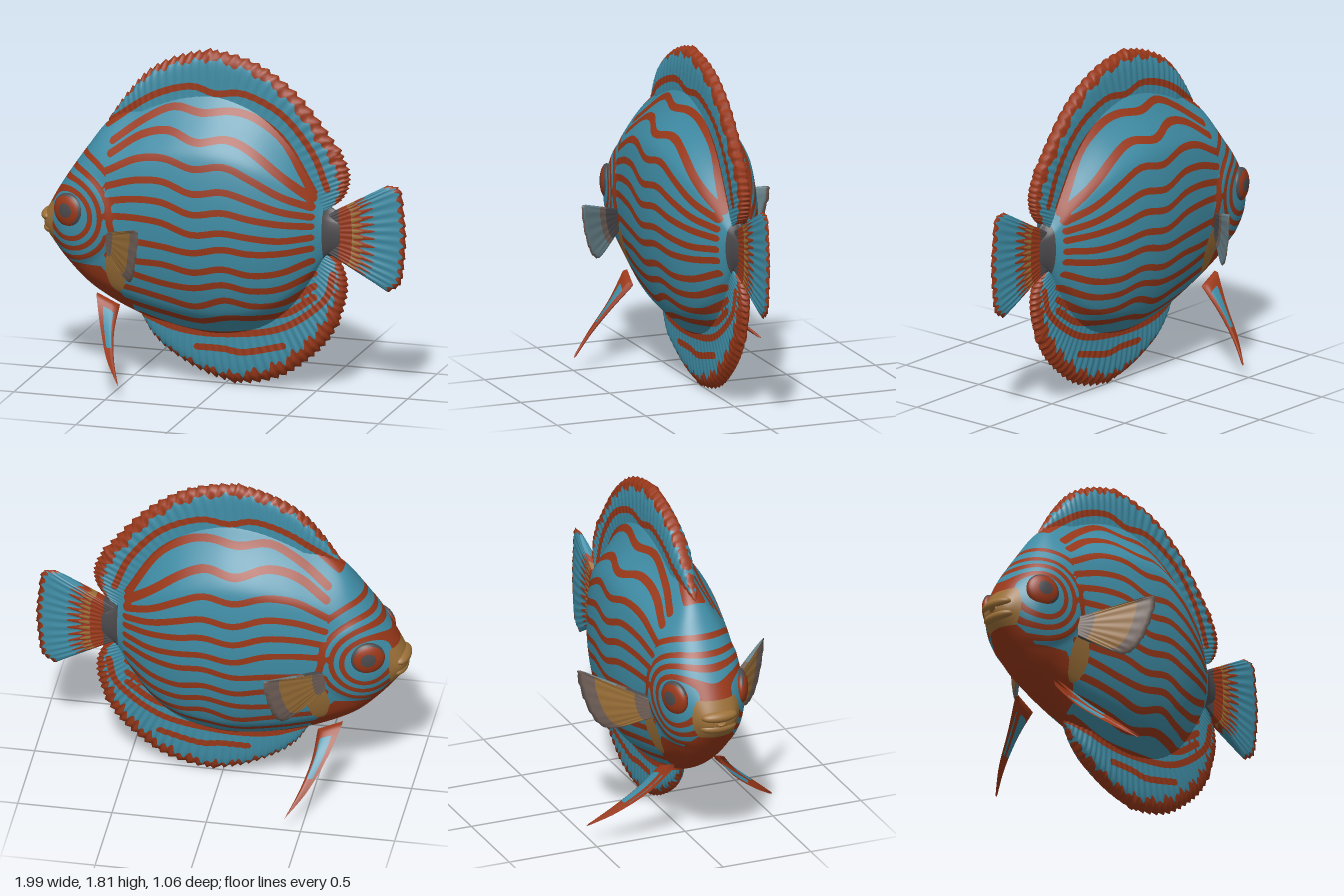
import * as THREE from 'three';

const mat = (name, color) => Object.assign(new THREE.MeshStandardMaterial({ color, side: THREE.DoubleSide }), { name });
const V = (a) => new THREE.Vector3(a[0], a[1], a[2] || 0);
const curve = (pts) => new THREE.CatmullRomCurve3(pts.map(V), false, 'catmullrom');
const BLUE = 0, RED = 1, TAN = 2, DARK = 3, GREY = 4, BROWN = 5;
const step = THREE.MathUtils.smoothstep;

// Smooth grid surface from fn(u, v); closed joins the normals of the two v ends
function grid(nu, nv, fn, closed) {
  const pos = [], uv = [], idx = [];
  for (let i = 0; i <= nu; i++) for (let j = 0; j <= nv; j++) {
    pos.push(...fn(i / nu, j / nv).toArray());
    uv.push(i / nu, j / nv);
    if (i < nu && j < nv) {
      const a = i * (nv + 1) + j, b = a + nv + 1;
      idx.push(a, a + 1, b, a + 1, b + 1, b);
    }
  }
  const g = new THREE.BufferGeometry();
  g.setAttribute('position', new THREE.Float32BufferAttribute(pos, 3));
  g.setAttribute('uv', new THREE.Float32BufferAttribute(uv, 2));
  g.setIndex(idx);
  g.computeVertexNormals();
  const n = g.attributes.normal, p = new THREE.Vector3(), q = new THREE.Vector3();
  if (closed) for (let i = 0; i <= nu; i++) {
    const a = i * (nv + 1), b = a + nv;
    p.fromBufferAttribute(n, a).add(q.fromBufferAttribute(n, b)).normalize();
    n.setXYZ(a, p.x, p.y, p.z);
    n.setXYZ(b, p.x, p.y, p.z);
  }
  return g;
}

// Cuts triangles along colour borders, so each face has one flat colour.
// colourAt gets [x, y, z, nx, ny, nz, u, v] and returns a material index.
function paint(name, geo, mats, colourAt) {
  const { position: P, normal: N, uv: U } = geo.attributes;
  const vert = Array.from({ length: P.count }, (_, i) =>
    [P.getX(i), P.getY(i), P.getZ(i), N.getX(i), N.getY(i), N.getZ(i), U.getX(i), U.getY(i)]);
  const cols = vert.map(colourAt), out = mats.map(() => []);
  const mix = (a, b, t) => a.map((x, k) => x + (b[k] - x) * t);
  const border = (a, b, ca) => {
    let lo = 0, hi = 1;
    for (let k = 0; k < 7; k++) {
      const m = (lo + hi) / 2;
      if (colourAt(mix(a, b, m)) === ca) lo = m; else hi = m;
    }
    return mix(a, b, (lo + hi) / 2);
  };
  const I = geo.index.array;
  for (let t = 0; t < I.length; t += 3) {
    const v = [0, 1, 2].map((k) => vert[I[t + k]]), c = [0, 1, 2].map((k) => cols[I[t + k]]);
    if (c[0] === c[1] && c[1] === c[2]) { out[c[0]].push(...v); continue; }
    const odd = [0, 1, 2].find((k) => c[(k + 1) % 3] === c[(k + 2) % 3]);
    if (odd !== undefined) {
      const o = v[odd], p = v[(odd + 1) % 3], q = v[(odd + 2) % 3];
      const m = border(o, p, c[odd]), n = border(o, q, c[odd]);
      out[c[odd]].push(o, m, n);
      out[c[(odd + 1) % 3]].push(m, p, q, m, q, n);
    } else {
      const m = [0, 1, 2].map((k) => border(v[k], v[(k + 1) % 3], c[k]));
      const mid = mix(mix(m[0], m[1], 0.5), m[2], 1 / 3);
      for (let k = 0; k < 3; k++) out[c[k]].push(v[k], m[k], mid, v[k], mid, m[(k + 2) % 3]);
    }
  }
  const g = new THREE.BufferGeometry(), all = out.flat();
  g.setAttribute('position', new THREE.Float32BufferAttribute(all.flatMap((a) => a.slice(0, 3)), 3));
  g.setAttribute('normal', new THREE.Float32BufferAttribute(all.flatMap((a) => a.slice(3, 6)), 3));
  let start = 0;
  out.forEach((list, k) => {
    if (list.length) g.addGroup(start, list.length, k);
    start += list.length;
  });
  const mesh = new THREE.Mesh(g, mats);
  mesh.name = name;
  return mesh;
}

// Wavy flank stripes: heights at shared x stations, plus arcs along the fin roots
const stations = [-0.58, -0.42, -0.26, -0.1, 0.06, 0.2, 0.35, 0.5];
const stripes = [
  [1.3, 1.42, 1.5, 1.485, 1.5, 1.46, 1.34, 1.09], [1.24, 1.35, 1.39, 1.35, 1.37, 1.31, 1.19, 1.06],
  [1.16, 1.24, 1.26, 1.22, 1.24, 1.18, 1.09, 1.02], [1.08, 1.13, 1.14, 1.09, 1.11, 1.07, 1.01, 0.97],
  [1.0, 1.03, 1.03, 0.98, 1.0, 0.97, 0.94, 0.92], [0.92, 0.93, 0.92, 0.87, 0.89, 0.87, 0.85, 0.86],
  [0.8, 0.8, 0.79, 0.77, 0.8, 0.78, 0.78, 0.8], [0.7, 0.69, 0.69, 0.66, 0.69, 0.66, 0.67, 0.73],
  [0.64, 0.61, 0.58, 0.57, 0.6, 0.57, 0.58, 0.65], [0.54, 0.52, 0.49, 0.46, 0.51, 0.48, 0.49, 0.58],
  [0.45, 0.42, 0.39, 0.365, 0.4, 0.4, 0.42, 0.52],
].map((ys) => ys.map((y, k) => [stations[k], y]));
stripes.push(
  [[-0.63, 1.37], [-0.39, 1.54], [-0.18, 1.61], [-0.04, 1.58], [0.12, 1.59], [0.33, 1.49], [0.49, 1.3], [0.57, 1.11]],
  [[-0.45, 0.35], [-0.2, 0.285], [0.06, 0.285], [0.33, 0.34], [0.55, 0.5], [0.6, 0.65]],
  [[-0.14, 0.2], [0, 0.2], [0.12, 0.19], [0.33, 0.24]],
  [[-0.57, 0.99], [-0.56, 0.88], [-0.53, 0.78]]);
const lines = stripes.map((s) => curve(s).getPoints(28));

function onStripe(x, y) {
  for (const l of lines) for (let k = 1; k < l.length; k++) {
    const a = l[k - 1], dx = l[k].x - a.x, dy = l[k].y - a.y;
    const t = Math.min(1, Math.max(0, ((x - a.x) * dx + (y - a.y) * dy) / (dx * dx + dy * dy)));
    if (Math.hypot(x - a.x - t * dx, y - a.y - t * dy) < 0.018) return true;
  }
  return false;
}

function bodyColour([x, y]) {
  if (x > 0.55) return DARK;
  if (x < -0.905 && y > 0.72 && y < 0.93) return TAN;
  // Tan patch behind the gill, red throat in front of it
  if (Math.hypot((x + 0.54) / 0.055, (y - 0.62) / 0.13) < 1) return TAN;
  if (x < -0.48 && y < 0.63 + Math.max(0, -0.8 - x) * 0.9 - Math.max(0, x + 0.62) * 1.6) return RED;
  // Rings round the eye
  if (x < -0.59) {
    const d = Math.hypot(x + 0.8, y - 0.9);
    if ([0.13, 0.185, 0.24].some((r) => Math.abs(d - r) < 0.014)) return RED;
    if (y > 1 && Math.abs(d - 0.32) < 0.015) return RED;
  }
  return onStripe(x, y) ? RED : BLUE;
}

// Fin sheet between a root curve and an edge curve, rounded at the rim, with rays and a toothed edge
function fin({ root, edge, thick, rays = 0, teeth = 0, nu, nv }) {
  const R = curve(root), E = curve(edge);
  const normal = E.getPoint(0.5).sub(R.getPoint(0.5)).cross(E.getPoint(1).sub(E.getPoint(0))).normalize();
  return grid(nu, nv, (u, v) => {
    const s = 1 - Math.abs(2 * v - 1), r = R.getPoint(u), d = E.getPoint(u).sub(r);
    const saw = teeth * (((u * rays) % 1) - 0.5) * Math.sin(Math.PI * Math.min(1, u * 8) / 2);
    const ridge = 1 + (rays ? 0.16 * Math.sin(u * rays * Math.PI * 2) * s : 0);
    const rounding = Math.sqrt(Math.max(0, (1 - s ** 6) * (1 - Math.abs(2 * u - 1) ** 40)));
    const t = thick(u, s) * ridge * rounding;
    return r.addScaledVector(d, s * (1 + (saw * s) / Math.max(d.length(), 0.05)))
      .addScaledVector(normal, v < 0.5 ? t : -t);
  });
}

export function createModel() {
  const fish = new THREE.Group();
  fish.name = 'fish';
  const mats = [mat('turquoise', 0x3f8ca5), mat('rust red', 0x993819), mat('tan', 0x9c7038),
    mat('dark grey', 0x4c4a4d), mat('blue grey', 0x67828a), mat('dull brown', 0x73625a)];
  const add = (name, geo, colourAt) => fish.add(paint(name, geo, mats, colourAt));

  // Body: oval sections as [x, top, bottom, half width], pinched towards the fins
  const sections = [
    [-0.985, 0.83, 0.8, 0.02], [-0.96, 0.89, 0.75, 0.08], [-0.9, 1.0, 0.67, 0.13], [-0.83, 1.11, 0.59, 0.185],
    [-0.74, 1.24, 0.5, 0.213], [-0.64, 1.37, 0.43, 0.225], [-0.5, 1.47, 0.36, 0.245], [-0.35, 1.54, 0.31, 0.268],
    [-0.18, 1.59, 0.275, 0.283], [0, 1.595, 0.265, 0.28], [0.2, 1.52, 0.31, 0.25], [0.36, 1.38, 0.42, 0.19],
    [0.48, 1.19, 0.58, 0.12], [0.56, 1.03, 0.72, 0.065], [0.64, 0.97, 0.77, 0.035]];
  const outline = curve(sections), widths = curve(sections.map((s) => [s[0], s[3]]));
  add('body', grid(112, 160, (u, v) => {
    const o = outline.getPoint(u), a = v * Math.PI * 2, c = Math.cos(a);
    const y = (o.y + o.z) / 2 + ((o.y - o.z) / 2) * c;
    const gill = 1.05 - 0.05 * step(Math.hypot(o.x + 0.8, y - 0.88), 0.22, 0.27);
    const pinch = 1 - step(o.x, -0.8, -0.45) * (0.47 * step(c, 0.5, 0.96) + 0.25 * step(-c, 0.75, 0.98));
    return new THREE.Vector3(o.x, y, widths.getPoint(u).y * gill * pinch * Math.sin(a));
  }, true), bodyColour);

  // Dorsal and anal fins
  const rim = ([x, y, , , , , u, v]) => {
    const s = 1 - Math.abs(2 * v - 1), w = u * Math.PI * 2;
    const streak = 0.93 - 0.32 * Math.min(u, 0.6) + 0.05 * (Math.sin(w * 44) + Math.sin(w * 17));
    return s > streak || onStripe(x, y) ? RED : BLUE;
  };
  const finThick = (u, s) => (0.06 - 0.025 * u) * (1 - 0.15 * s) * Math.min(1, 0.3 + u * 5);
  add('dorsalFin', fin({
    root: [[-0.62, 1.33], [-0.5, 1.42], [-0.38, 1.47], [-0.22, 1.53], [-0.05, 1.55], [0.12, 1.52], [0.27, 1.42],
      [0.38, 1.28], [0.46, 1.14], [0.5, 1.05], [0.52, 0.98], [0.53, 0.95]],
    edge: [[-0.64, 1.38], [-0.53, 1.54], [-0.4, 1.68], [-0.22, 1.77], [-0.03, 1.8], [0.2, 1.74], [0.4, 1.6],
      [0.57, 1.4], [0.67, 1.24], [0.68, 1.13], [0.63, 1.04], [0.54, 1.0]],
    thick: finThick, rays: 44, teeth: 0.024, nu: 176, nv: 28 }), rim);
  add('analFin', fin({
    root: [[-0.48, 0.42], [-0.36, 0.38], [-0.24, 0.34], [-0.1, 0.32], [0.05, 0.32], [0.2, 0.37], [0.32, 0.45],
      [0.4, 0.54], [0.46, 0.64], [0.5, 0.7], [0.52, 0.76], [0.53, 0.8]],
    edge: [[-0.46, 0.34], [-0.38, 0.22], [-0.25, 0.12], [-0.08, 0.04], [0.1, 0.012], [0.3, 0.06], [0.46, 0.17],
      [0.58, 0.3], [0.65, 0.46], [0.67, 0.6], [0.63, 0.71], [0.55, 0.75]],
    thick: finThick, rays: 44, teeth: 0.024, nu: 176, nv: 28 }), rim);

  // Tail fin with banded base and red tips
  add('tailFin', fin({
    root: [0.96, 0.93, 0.9, 0.87, 0.83, 0.8, 0.77].map((y) => [0.55, y]),
    edge: [[0.89, 1.15], [0.96, 1.13], [0.98, 1.0], [0.99, 0.87], [0.98, 0.73], [0.96, 0.62], [0.89, 0.57]],
    thick: (u, s) => 0.036 - 0.022 * s, rays: 14, teeth: 0.012, nu: 84, nv: 40 }), ([x, , , , , , u, v]) => {
    const s = 1 - Math.abs(2 * v - 1), ray = Math.sin(u * 14 * Math.PI * 2);
    if (x < 0.63) return DARK;
    if (s > 0.95 - 0.02 * ray) return RED;
    if (s > 0.35 && s < 0.42 + 0.07 * ray) return TAN;
    return s < 0.54 + 0.1 * ray ? RED : BLUE;
  });

  // Paired parts
  for (const side of [1, -1]) {
    const label = side > 0 ? 'left' : 'right';
    const flip = (pts) => pts.map(([x, y, z]) => [x, y, z * side]);
    add(label + 'PectoralFin', fin({
      root: flip([0.83, 0.81, 0.79, 0.77, 0.745, 0.72].map((y) => [-0.57, y, 0.22])),
      edge: flip([[-0.36, 0.93, 0.49], [-0.31, 0.93, 0.53], [-0.325, 0.8, 0.51], [-0.36, 0.67, 0.46],
        [-0.4, 0.62, 0.4], [-0.46, 0.64, 0.34]]),
      thick: (u, s) => 0.018 - 0.011 * s, rays: 9, teeth: 0.008, nu: 54, nv: 28 }), (p) => {
      const s = 1 - Math.abs(2 * p[7] - 1), outer = p[5] * side > 0;
      if (outer) return s < 0.22 || s > 0.76 ? BROWN : TAN;
      return s < 0.4 ? DARK : s < 0.55 ? BROWN : GREY;
    });
    add(label + 'PelvicFin', fin({
      root: flip([[-0.66, 0.47, 0.13], [-0.6, 0.32, 0.25], [-0.52, 0.19, 0.4], [-0.42, 0.09, 0.53]]),
      edge: flip([[-0.53, 0.42, 0.15], [-0.52, 0.31, 0.28], [-0.48, 0.2, 0.41], [-0.42, 0.09, 0.53]]),
      thick: (u) => 0.018 * (1 - 0.7 * u), nu: 30, nv: 16 }), (p) => {
      const s = 1 - Math.abs(2 * p[7] - 1);
      return p[6] > 0.12 && p[6] < 0.55 && s > 0.3 && s < 0.85 ? BLUE : RED;
    });
    // Eye: dark pupil, red iris and a dark socket behind
    const eye = new THREE.SphereGeometry(0.092, 40, 30).rotateX(Math.PI / 2).scale(1, 1, 0.42)
      .rotateY(-0.36 * side).translate(-0.8, 0.92, 0.187 * side);
    add(label + 'Eye', eye, ([x, y]) => {
      const r = Math.hypot(x + 0.81, y - 0.925);
      return r < 0.038 ? DARK : r < 0.075 || x + y < 0.08 ? RED : DARK;
    });
  }

  // Lips
  [['upperLip', -0.95, 0.845], ['lowerLip', -0.935, 0.78]].forEach(([name, x, y]) => {
    const lip = new THREE.Mesh(new THREE.SphereGeometry(1, 28, 18), mats[TAN]);
    lip.name = name;
    lip.scale.set(0.05, 0.034, 0.1);
    lip.position.set(x, y, 0);
    fish.add(lip);
  });
  return fish;
}
